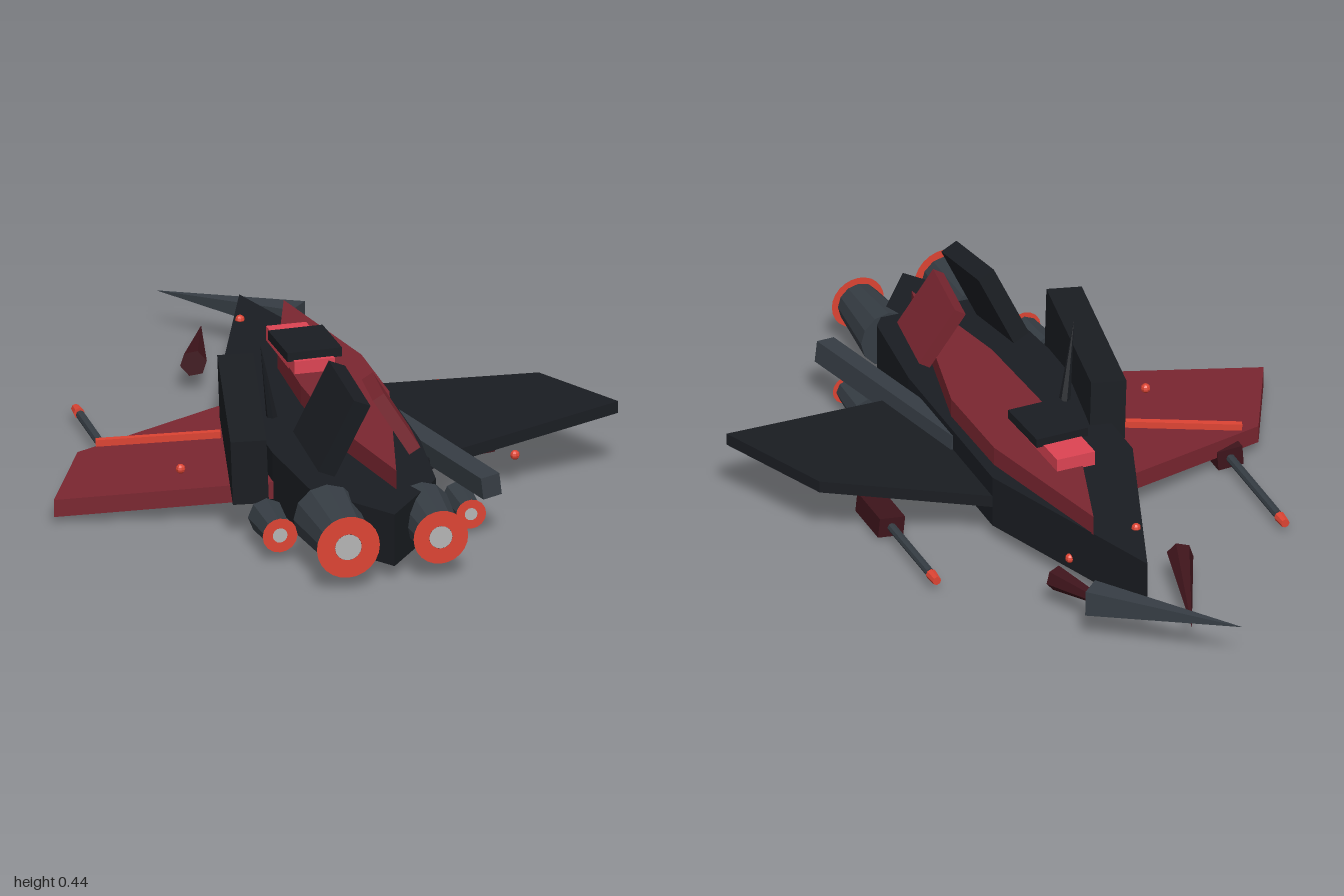
import * as THREE from 'three';

const mat = (color, side = THREE.FrontSide) =>
  new THREE.MeshStandardMaterial({ color, flatShading: true, side });
const M = {
  dark: mat(0x1a1d22), gun: mat(0x363d44), red: mat(0x7a2630), maroon: mat(0x3e141b),
  bright: mat(0xdd4453), orange: mat(0xdd4433), green: mat(0x33cc66),
  glow: mat(0xdd4433, THREE.DoubleSide), core: mat(0xb4b4b4, THREE.DoubleSide),
};

export function createModel() {
  const group = new THREE.Group();

  const add = (name, geo, material, pos = [0, 0, 0], rot = [0, 0, 0]) => {
    const mesh = new THREE.Mesh(geo, material);
    mesh.name = name;
    mesh.position.set(...pos);
    mesh.rotation.set(...rot);
    group.add(mesh);
    return mesh;
  };
  const box = (name, material, size, pos, rot) =>
    add(name, new THREE.BoxGeometry(...size), material, pos, rot);

  // Plate cut from a plan outline of [x, z] points, resting at height y
  const plate = (points, y, thickness) => {
    const shape = new THREE.Shape(points.map(([x, z]) => new THREE.Vector2(x, -z)));
    const geo = new THREE.ExtrudeGeometry(shape, { depth: thickness, bevelEnabled: false });
    return geo.rotateX(-Math.PI / 2).translate(0, y, 0);
  };

  // Cylinder or cone running from a to b
  const rod = (name, material, a, b, ra, rb, sides) => {
    const from = new THREE.Vector3(...a), to = new THREE.Vector3(...b);
    const dir = to.clone().sub(from);
    const mesh = add(name, new THREE.CylinderGeometry(rb, ra, dir.length(), sides), material);
    mesh.position.copy(from).add(to).multiplyScalar(0.5);
    mesh.quaternion.setFromUnitVectors(new THREE.Vector3(0, 1, 0), dir.normalize());
    return mesh;
  };

  // Hull, with its pointed nose toward -z
  add('hull', plate([[0, -0.72], [0.2, -0.14], [0.2, 0.43], [0.17, 0.72], [0, 0.95],
    [-0.17, 0.72], [-0.2, 0.43], [-0.2, -0.14]], 0.043, 0.145), M.dark);

  // Offset armour plate on the back
  add('dorsalPlate', plate([[0.07, -0.52], [0.17, -0.08], [0.175, 0.2], [0.05, 0.77],
    [-0.025, 0.4], [-0.04, 0.1], [-0.035, -0.17]], 0.185, 0.055), M.red);

  // Cockpit
  box('canopy', M.bright, [0.11, 0.04, 0.275], [0.015, 0.255, -0.122], [0, 0.03, 0]);
  box('canopyRoof', M.dark, [0.15, 0.025, 0.175], [0.018, 0.284, -0.085], [0, 0.05, 0]);

  // Uneven wings, sheared up or down along the span
  for (const [name, side, material, rootY, slope, thickness] of [
    ['leftWing', 1, M.dark, 0.09, 0.125, 0.033],
    ['rightWing', -1, M.red, 0.1, -0.075, 0.048]]) {
    const geo = plate([[0.1, -0.18], [0.2, -0.14], [0.625, 0.02], [0.765, 0.32], [0.1, 0.46]]
      .map(([x, z]) => [x * side, z]), rootY - thickness / 2, thickness);
    const p = geo.attributes.position;
    for (let i = 0; i < p.count; i++) p.setY(i, p.getY(i) + slope * Math.abs(p.getX(i)));
    geo.computeVertexNormals();
    add(name, geo, material);
  }
  box('wingStripe', M.orange, [0.33, 0.018, 0.018], [-0.415, 0.11, 0.055], [0, -0.29, 0.09]);

  // Guns slung under the wings
  for (const [x, y, muzzleZ, tilt] of [[-0.522, 0.032, -0.41, -0.07], [0.443, 0.036, -0.345, 0.1]]) {
    box('gunPod', M.maroon, [0.072, 0.055, 0.155], [x, y, 0.042], [0, 0, tilt]);
    rod('gunBarrel', M.gun, [x, y, 0], [x, y, muzzleZ + 0.05], 0.012, 0.012, 8);
    rod('gunMuzzle', M.orange, [x, y, muzzleZ + 0.04], [x, y, muzzleZ], 0.015, 0.012, 8);
  }

  // Engines: tapered nacelle, flat glowing ring and pale core
  for (const [name, x, y, z0, z1, r, sides] of [
    ['mainEngine', -0.135, 0.123, 0.755, 0.985, 0.09, 12],
    ['mainEngine', 0.122, 0.118, 0.755, 0.96, 0.078, 12],
    ['smallEngine', -0.257, 0.075, 0.59, 0.735, 0.05, 8],
    ['smallEngine', 0.282, 0.053, 0.515, 0.65, 0.043, 8]]) {
    rod(name, M.gun, [x, y, z0], [x, y, z1], r, r * 0.75, sides);
    add(name + 'Ring', new THREE.RingGeometry(r * 0.4, r * 0.95, sides * 2), M.glow, [x, y, z1 + 0.004]);
    add(name + 'Core', new THREE.CircleGeometry(r * 0.4, 16), M.core, [x, y, z1 + 0.004]);
  }

  // Side blocks
  box('heavyBlock', M.dark, [0.095, 0.18, 0.565], [-0.243, 0.205, 0.285], [0.055, -0.185, 0.05]);
  box('sideBeam', M.gun, [0.055, 0.06, 0.6], [0.25, 0.145, 0.425], [-0.02, 0.24, 0.12]);

  // Leaning tail fins and spike antenna
  box('darkFin', M.dark, [0.05, 0.22, 0.23], [-0.072, 0.32, 0.56], [0.13, 0.05, -0.43]);
  box('redFin', M.maroon, [0.035, 0.18, 0.2], [0.1, 0.302, 0.515], [-0.08, -0.1, 0.55])
    .material = M.red;
  rod('antenna', M.dark, [-0.135, 0.18, 0.17], [-0.175, 0.405, 0.2], 0.016, 0, 6);

  // Loose spikes around the nose
  rod('noseSpike', M.gun, [0.157, 0.112, -0.705], [-0.155, 0.11, -1.0], 0.05, 0, 4);
  rod('noseBarb', M.maroon, [-0.172, 0.08, -0.53], [-0.068, 0.055, -0.86], 0.036, 0, 6);
  rod('noseBarb', M.maroon, [0.177, 0.08, -0.52], [0.085, 0.09, -0.79], 0.034, 0, 6);

  // Marker lights
  for (const [x, y, z] of [[-0.045, 0.19, -0.535], [0.1, 0.075, -0.43],
    [-0.41, 0.105, 0.275], [0.475, 0.093, 0.36]]) {
    add('markerLight', new THREE.SphereGeometry(0.013, 8, 6), M.orange, [x, y, z]);
  }
  add('statusLight', new THREE.SphereGeometry(0.01, 8, 6), M.green, [0.14, 0.218, 0.46]);

  return group;
}
